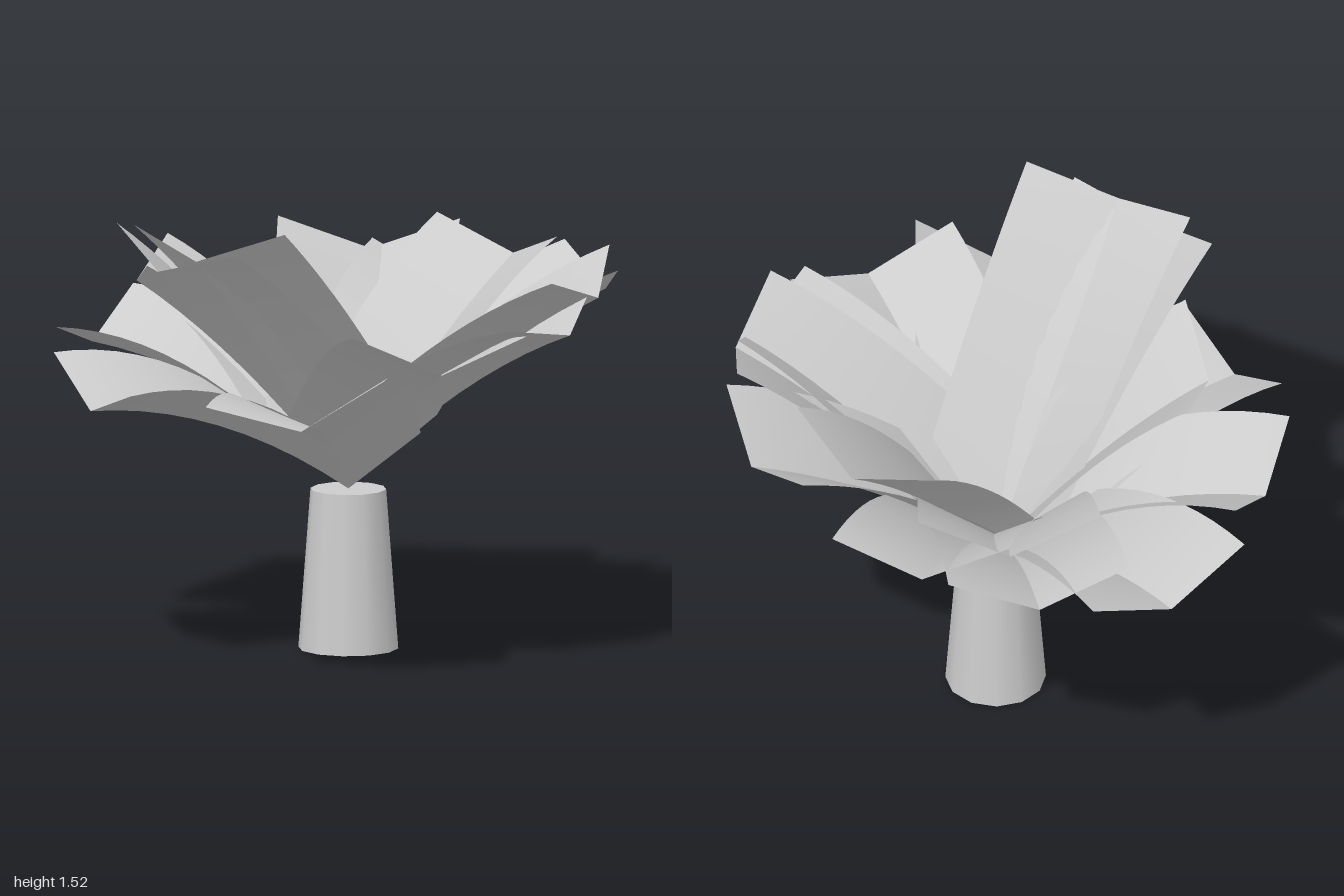
import * as THREE from 'three';

const BASE = new THREE.Vector3(0.075, 0.53, -0.08);
const UP = new THREE.Vector3(0, 1, 0);
const SEGMENTS = 10;

// Each leaf: tip of the midrib x, y, z, then roll in radians
const LEAVES = [
  [0.57, 0.91, 0.85, 0.17], [-0.37, 0.86, 0.74, -0.08],
  [-0.83, 0.95, 0.11, -0.08], [-0.84, 0.93, -0.55, 0.03],
  [-0.50, 0.99, -0.83, 0], [-0.12, 1.05, -0.94, 0.12],
  [0.60, 1.15, -0.79, 0], [0.91, 1.22, -0.33, 0.05],
  [0.95, 1.13, -0.12, 0.2], [0.82, 1.06, 0.41, -0.05],
  [0.075, 1.41, 0.76, 0.06], [-0.08, 1.36, 0.76, -0.06],
  [0.23, 1.23, -0.78, 0], [-0.53, 1.21, 0.27, 0],
  [-0.39, 1.17, -0.83, 0],
];

// One half of a folded leaf: a strip from the midrib to the outer edge
function halfLeaf(curve, forward, side, roll, sign) {
  const tangent = curve.getTangent(1);
  const normal = new THREE.Vector3().crossVectors(side, tangent).normalize();
  if (normal.y < 0) normal.negate();
  // low leaves lean outward at the base, tall ones stand upright
  const lean = (1.47 - curve.v2.y) * 0.3;
  const start = side.clone().multiplyScalar(sign * 0.265)
    .addScaledVector(forward, lean).addScaledVector(UP, Math.sqrt(0.078 - lean * lean));
  const end = side.clone().multiplyScalar(sign * 0.3)
    .addScaledVector(normal, 0.125).applyAxisAngle(tangent, roll);
  const positions = [], indices = [];
  for (let i = 0; i <= SEGMENTS; i++) {
    const t = i / SEGMENTS;
    const rib = curve.getPoint(t);
    const edge = rib.clone().add(start.clone().lerp(end, t));
    positions.push(...rib.toArray(), ...edge.toArray());
    if (i === SEGMENTS) continue;
    const a = i * 2;
    if (sign > 0) indices.push(a, a + 2, a + 1, a + 1, a + 2, a + 3);
    else indices.push(a, a + 1, a + 2, a + 1, a + 3, a + 2);
  }
  const geometry = new THREE.BufferGeometry();
  geometry.setAttribute('position', new THREE.Float32BufferAttribute(positions, 3));
  geometry.setIndex(indices);
  geometry.computeVertexNormals();
  return geometry;
}

// Arched leaf with a V-shaped fold along its midrib
function makeLeaf([x, y, z, roll], material) {
  const tip = new THREE.Vector3(x, y, z);
  const arch = 0.16 - Math.max(0, y - 0.95) * 0.19;
  const control = BASE.clone().lerp(tip, 0.5).addScaledVector(UP, arch);
  const curve = new THREE.QuadraticBezierCurve3(BASE, control, tip);
  const forward = tip.clone().sub(BASE).setY(0).normalize();
  const side = new THREE.Vector3().crossVectors(UP, forward);
  const leaf = new THREE.Group();
  leaf.name = 'leaf';
  for (const sign of [-1, 1]) {
    const half = new THREE.Mesh(halfLeaf(curve, forward, side, roll, sign), material);
    half.name = sign > 0 ? 'leafHalfLeft' : 'leafHalfRight';
    leaf.add(half);
  }
  return leaf;
}

export function createModel() {
  const model = new THREE.Group();
  model.name = 'plant';
  const grey = new THREE.MeshStandardMaterial({ color: 0xcccccc, side: THREE.DoubleSide });
  grey.name = 'light grey';

  // Tapered trunk
  const trunk = new THREE.Mesh(new THREE.CylinderGeometry(0.125, 0.165, 0.53, 12), grey);
  trunk.name = 'trunk';
  trunk.position.set(BASE.x, 0.265, BASE.z);
  model.add(trunk);

  // Crown of leaves
  const crown = new THREE.Group();
  crown.name = 'crown';
  for (const spec of LEAVES) crown.add(makeLeaf(spec, grey));
  model.add(crown);
  return model;
}
